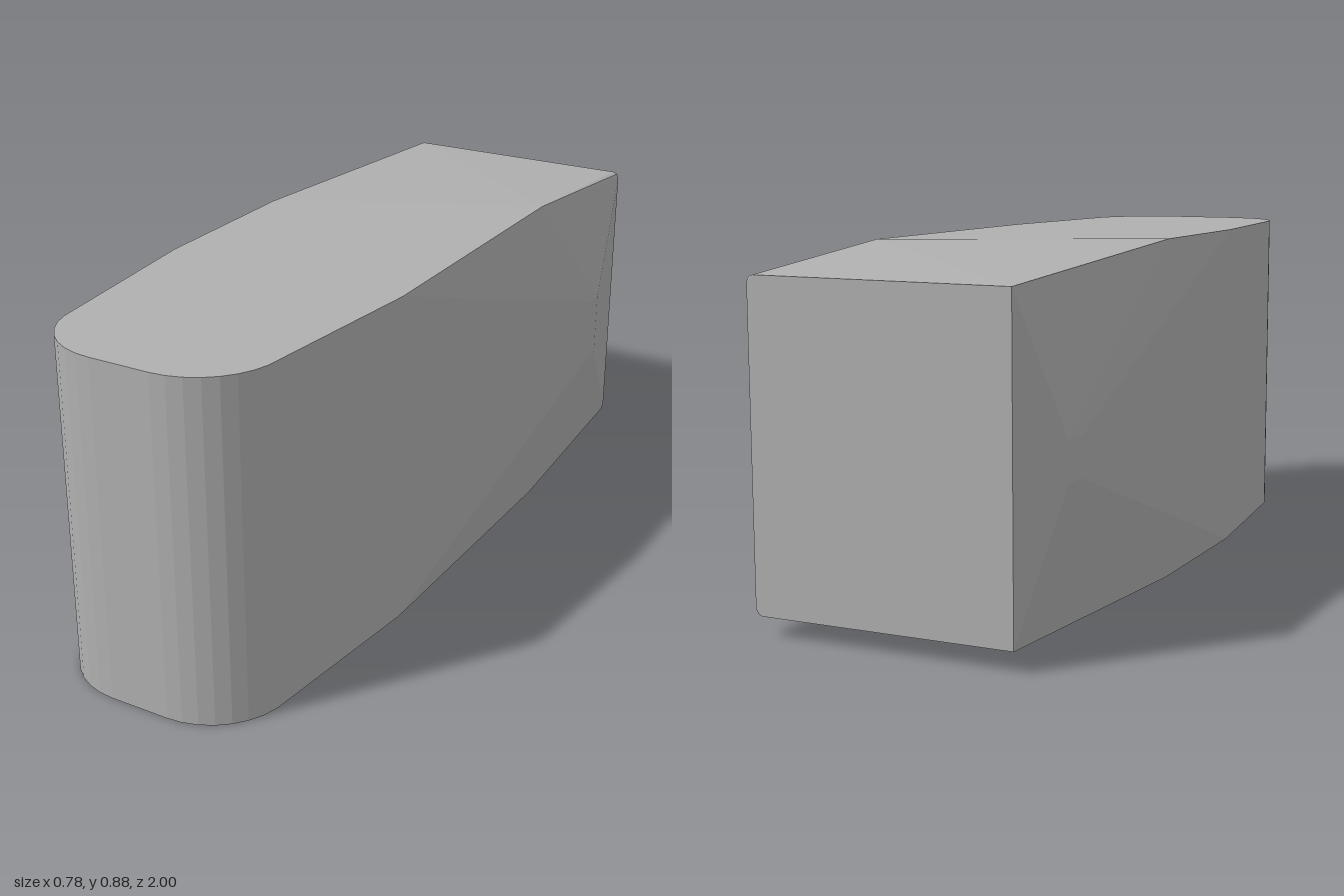
import * as THREE from 'three';
import { ConvexGeometry } from 'three/addons/geometries/ConvexGeometry.js';

const HEIGHT = 0.88;

export function createModel() {
  const group = new THREE.Group();
  group.name = 'wedgeBlock';
  const grey = new THREE.MeshStandardMaterial({ color: 0xb0b0b0 });
  grey.name = 'plain grey';

  const points = [];
  // Adds a point and its twin mirrored about the mid height
  const add = (x, y, z) => points.push(
    new THREE.Vector3(x, y, z), new THREE.Vector3(x, HEIGHT - y, z));

  for (const side of [-1, 1]) {
    // Rounded front corner
    for (let i = 0; i <= 8; i++) {
      const a = (i / 8) * Math.PI / 2;
      add(side * (0.08 + 0.203 * Math.sin(a)), HEIGHT, 0.8 + 0.2 * Math.cos(a));
    }
    // Shoulder where the sides begin to bulge
    add(side * 0.33, HEIGHT, 0.34);
  }

  // Uneven start of the slopes on top and bottom
  add(-0.33, HEIGHT, -0.12);
  add(0.33, HEIGHT, -0.45);

  // Back corners: one sharp, one slightly rounded
  add(-0.33, 0.83, -1);
  add(0.315, 0.832, -1);
  add(0.328, 0.828, -0.997);
  add(0.332, 0.815, -1);

  // Widest facet on each side
  for (const z of [-0.78, -0.85]) add(-0.39, 0.488, z);
  for (const z of [-0.70, -0.75]) add(0.388, 0.528, z);

  const body = new THREE.Mesh(new ConvexGeometry(points), grey);
  body.name = 'body';
  group.add(body);
  return group;
}
